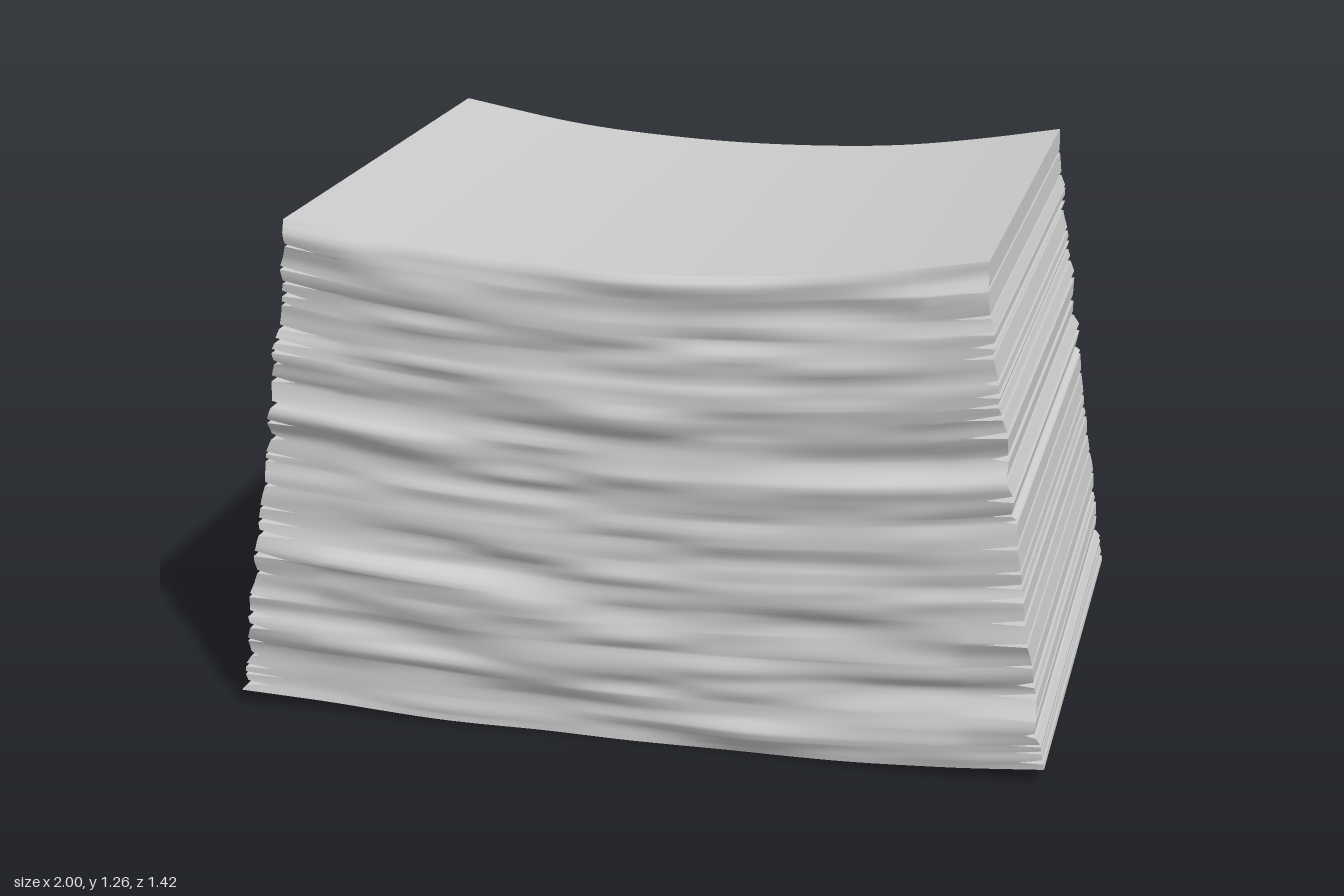
import * as THREE from 'three';

const COLS = 36;
const material = new THREE.MeshStandardMaterial({ color: 0xcccccc, side: THREE.DoubleSide });
const flatMaterial = new THREE.MeshStandardMaterial({ color: 0xcccccc, side: THREE.DoubleSide, flatShading: true });

// Repeatable value per lattice cell, and smooth noise between cells
function hash(i, j, seed) {
  const s = Math.sin(i * 127.1 + j * 311.7 + seed * 74.7) * 43758.5453;
  return s - Math.floor(s);
}
function noise(x, y, seed) {
  const i = Math.floor(x), j = Math.floor(y);
  const fx = THREE.MathUtils.smoothstep(x - i, 0, 1), fy = THREE.MathUtils.smoothstep(y - j, 0, 1);
  const { lerp } = THREE.MathUtils;
  return lerp(
    lerp(hash(i, j, seed), hash(i + 1, j, seed), fx),
    lerp(hash(i, j + 1, seed), hash(i + 1, j + 1, seed), fx), fy);
}

// Heights of the gaps between sheets at the side edges
const gaps = [0.06, 0.085, 0.105, 0.135, 0.175, 0.22, 0.25, 0.3, 0.36, 0.41, 0.465, 0.495, 0.53, 0.59,
  0.65, 0.667, 0.71, 0.755, 0.8, 0.86, 0.905, 0.935, 0.96, 0.99, 1.05, 1.075, 1.105, 1.14, 1.2];

// Rows up the stack: sheet edges stay out, gaps cut inwards on each side
function makeRows() {
  const rows = [{ t: 0, cut: [0, 0] }];
  gaps.forEach((y, k) => {
    const t = (y - 0.04) / 1.22, half = 0.003 + 0.004 * hash(k, 1, 5);
    const out = [0.012 * hash(k, 2, 5), 0.012 * hash(k, 3, 5)];
    const deep = [0.03 + 0.08 * hash(k, 4, 5), 0.03 + 0.08 * hash(k, 5, 5)];
    rows.push({ t: t - half, cut: out }, { t, cut: deep }, { t: t + half, cut: out });
  });
  rows.push({ t: 1, cut: [0, 0] });
  // Extra rows inside thick sheets keep the rippled faces smooth
  const fine = [];
  rows.forEach((r, i) => {
    fine.push(r);
    const n = rows[i + 1];
    if (!n) return;
    const steps = Math.ceil((n.t - r.t) / 0.012);
    for (let s = 1; s < steps; s++) {
      const f = s / steps;
      fine.push({ t: r.t + (n.t - r.t) * f, cut: [0, 1].map(e => r.cut[e] + (n.cut[e] - r.cut[e]) * f) });
    }
  });
  return fine;
}

// Point on the rippled front (sign 1) or back (sign -1) face
function facePoint(row, j, sign) {
  const { t, cut } = row;
  const u = (j / COLS) * 2 - 1, w = 1 - 0.17 * t;
  let x = u * (w - 0.1);
  if (j === 0) x = -w + cut[0];
  if (j === COLS) x = w - cut[1];
  const q = x / w;
  const y = 1.18 * t + (0.04 + 0.04 * t) * q * q;
  const seed = sign > 0 ? 3 : 8;
  const ripple = noise(x * 2.6 + 20 + t * 3, t * 17 + x * 0.5 + 4, seed) * 0.7
    + noise(x * 4 + 40, t * 38 + 9, seed + 1) * 0.3;
  const trim = t === 1 ? 0.012 * (1 - q * q) : 0;
  return [x, y, sign * (0.66 + 0.055 * ripple - trim)];
}

// Surface through a grid of points; columns run right and rows run up as seen from outside
function sheet(name, grid, mat) {
  const n = grid[0].length, index = [];
  for (let i = 0; i < grid.length - 1; i++)
    for (let j = 0; j < n - 1; j++) {
      const a = i * n + j, b = a + 1, c = a + n, d = c + 1;
      index.push(a, b, d, a, d, c);
    }
  const geometry = new THREE.BufferGeometry();
  geometry.setAttribute('position', new THREE.Float32BufferAttribute(grid.flat(2), 3));
  geometry.setIndex(index);
  geometry.computeVertexNormals();
  const mesh = new THREE.Mesh(geometry, mat);
  mesh.name = name;
  return mesh;
}

export function createModel() {
  const group = new THREE.Group();
  group.name = 'layeredStack';
  const rows = makeRows();
  const front = rows.map(r => Array.from({ length: COLS + 1 }, (_, j) => facePoint(r, j, 1)));
  const back = rows.map(r => Array.from({ length: COLS + 1 }, (_, j) => facePoint(r, j, -1)));
  const last = rows.length - 1;

  // Rippled long faces
  group.add(sheet('frontFace', front, material));
  group.add(sheet('backFace', back.map(r => [...r].reverse()), material));

  // Grooved sheet edges
  group.add(sheet('leftEdges', rows.map((_, i) => [front[i][COLS], back[i][COLS]]), flatMaterial));
  group.add(sheet('rightEdges', rows.map((_, i) => [back[i][0], front[i][0]]), flatMaterial));

  // Sagging top and bottom sheets
  group.add(sheet('topSheet', [front[last], back[last]], material));
  group.add(sheet('bottomSheet', [back[0], front[0]], material));
  return group;
}
